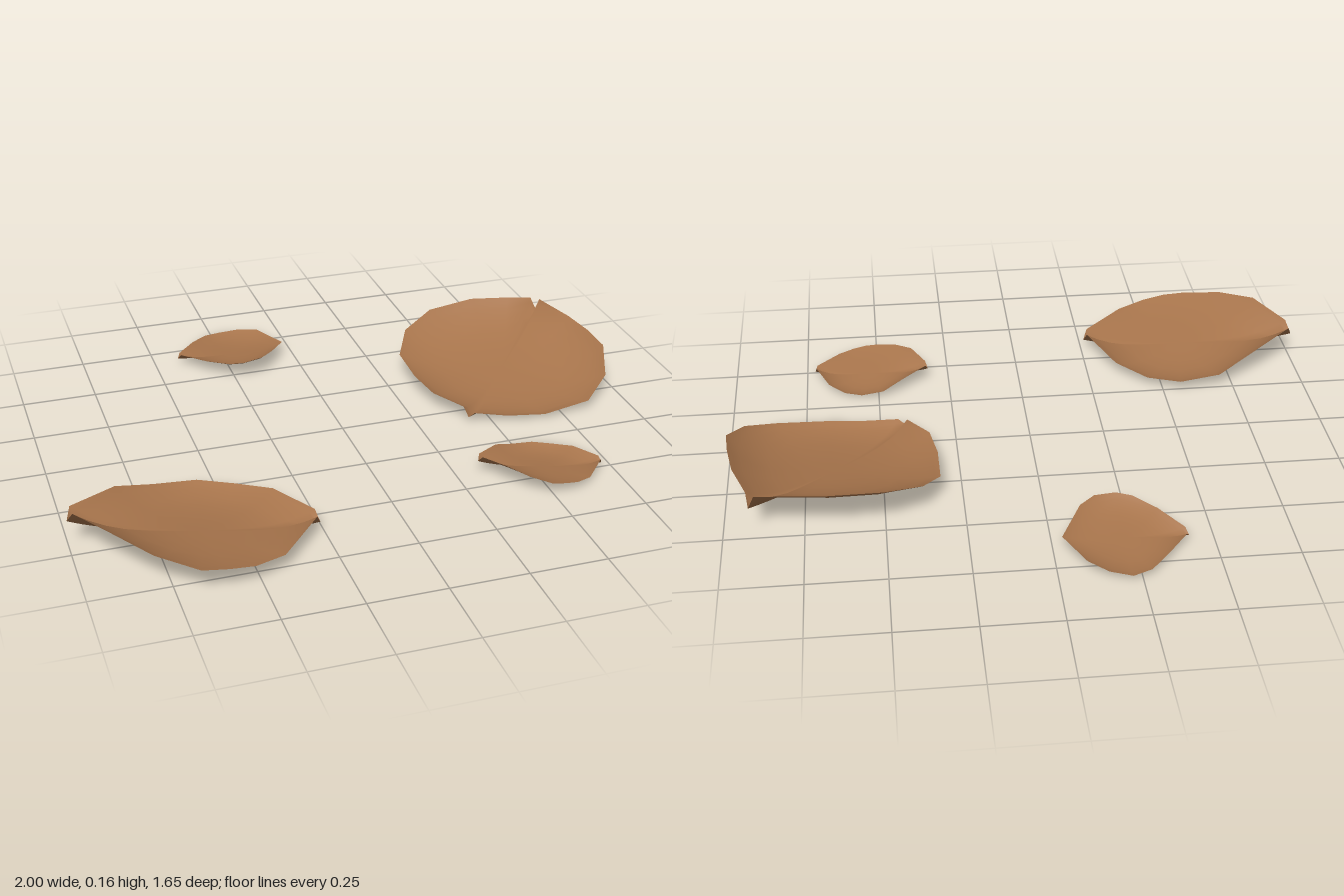
import * as THREE from 'three';

const leafBrown = new THREE.MeshStandardMaterial({ color: 0xa8754c, side: THREE.DoubleSide });
leafBrown.name = 'leafBrown';

// Rings from the middle of a leaf to its rim
const RINGS = [0.2, 0.4, 0.6, 0.75, 0.88, 0.95, 1];

// Cupped leaf: a tilted floor that curls up to a rim of [x, z, y] points
function leafGeometry(rim, { cx, cz, y, slopeX, slopeZ }) {
  const floor = (x, z) => Math.max(0.002, y + slopeX * (x - cx) + slopeZ * (z - cz));
  const pos = [cx, floor(cx, cz), cz];
  const index = [];
  const n = rim.length;
  RINGS.forEach((t, r) => {
    rim.forEach(([px, pz, py], i) => {
      const x = cx + (px - cx) * t;
      const z = cz + (pz - cz) * t;
      const base = floor(x, z);
      pos.push(x, base + (py - floor(px, pz)) * t ** 3.5, z);
      const j = (i + 1) % n;
      const a = 1 + r * n + i, b = 1 + r * n + j;
      if (r === 0) index.push(0, b, a);
      else index.push(a - n, b - n, b, a - n, b, a);
    });
  });
  const g = new THREE.BufferGeometry();
  g.setAttribute('position', new THREE.Float32BufferAttribute(pos, 3));
  g.setIndex(index);
  g.computeVertexNormals();
  return g;
}

// Rims run clockwise seen from above; each tip is a notch between two curled corners
const pointedRim = [
  [-1, 0.45, 0.11], [-0.985, 0.425, 0.145], [-0.83, 0.31, 0.12], [-0.7, 0.25, 0.07],
  [-0.56, 0.24, 0.055], [-0.45, 0.29, 0.05], [-0.35, 0.38, 0.065], [-0.27, 0.565, 0.083],
  [-0.26, 0.59, 0.05], [-0.275, 0.61, 0.083], [-0.42, 0.77, 0.075], [-0.52, 0.815, 0.085],
  [-0.6, 0.825, 0.097], [-0.68, 0.82, 0.105], [-0.8, 0.75, 0.135], [-0.9, 0.64, 0.163],
  [-0.985, 0.48, 0.15],
];
const broadRim = [
  [0.42, 0.09, 0.04], [0.41, 0.065, 0.07], [0.34, -0.04, 0.08], [0.32, -0.17, 0.085],
  [0.32, -0.33, 0.095], [0.38, -0.44, 0.135], [0.5, -0.51, 0.168], [0.67, -0.53, 0.18],
  [0.81, -0.51, 0.175], [0.895, -0.495, 0.17], [0.915, -0.49, 0.125], [0.92, -0.47, 0.17],
  [0.97, -0.32, 0.16], [0.99, -0.2, 0.155], [1, -0.09, 0.143], [0.95, 0.04, 0.095],
  [0.85, 0.12, 0.05], [0.68, 0.14, 0.035], [0.55, 0.12, 0.04], [0.44, 0.095, 0.055],
];
const smallRim = [
  [-0.42, -0.65, 0.04], [-0.41, -0.665, 0.055], [-0.34, -0.75, 0.05], [-0.28, -0.81, 0.04],
  [-0.22, -0.83, 0.035], [-0.15, -0.815, 0.045], [-0.09, -0.77, 0.055], [-0.03, -0.64, 0.055],
  [-0.1, -0.52, 0.085], [-0.15, -0.475, 0.087], [-0.22, -0.46, 0.083], [-0.27, -0.475, 0.078],
  [-0.34, -0.54, 0.07], [-0.41, -0.635, 0.06],
];

export function createModel() {
  const group = new THREE.Group();
  group.name = 'fallenLeaves';
  const add = (name, geometry) => {
    const mesh = new THREE.Mesh(geometry, leafBrown);
    mesh.name = name;
    group.add(mesh);
    return mesh;
  };

  const pointed = leafGeometry(pointedRim, { cx: -0.61, cz: 0.53, y: 0.05, slopeX: -0.1, slopeZ: 0.12 });
  add('largePointedLeaf', pointed);
  add('largeBroadLeaf', leafGeometry(broadRim, { cx: 0.66, cz: -0.2, y: 0.052, slopeX: 0.04, slopeZ: -0.17 }));
  add('smallBackLeaf', leafGeometry(smallRim, { cx: -0.22, cz: -0.64, y: 0.036, slopeX: 0, slopeZ: 0.1 }));

  // Smaller copy of the pointed leaf
  const small = add('smallFrontLeaf', pointed);
  small.scale.setScalar(0.54);
  small.position.set(0.862, 0.004, 0.172);
  return group;
}
